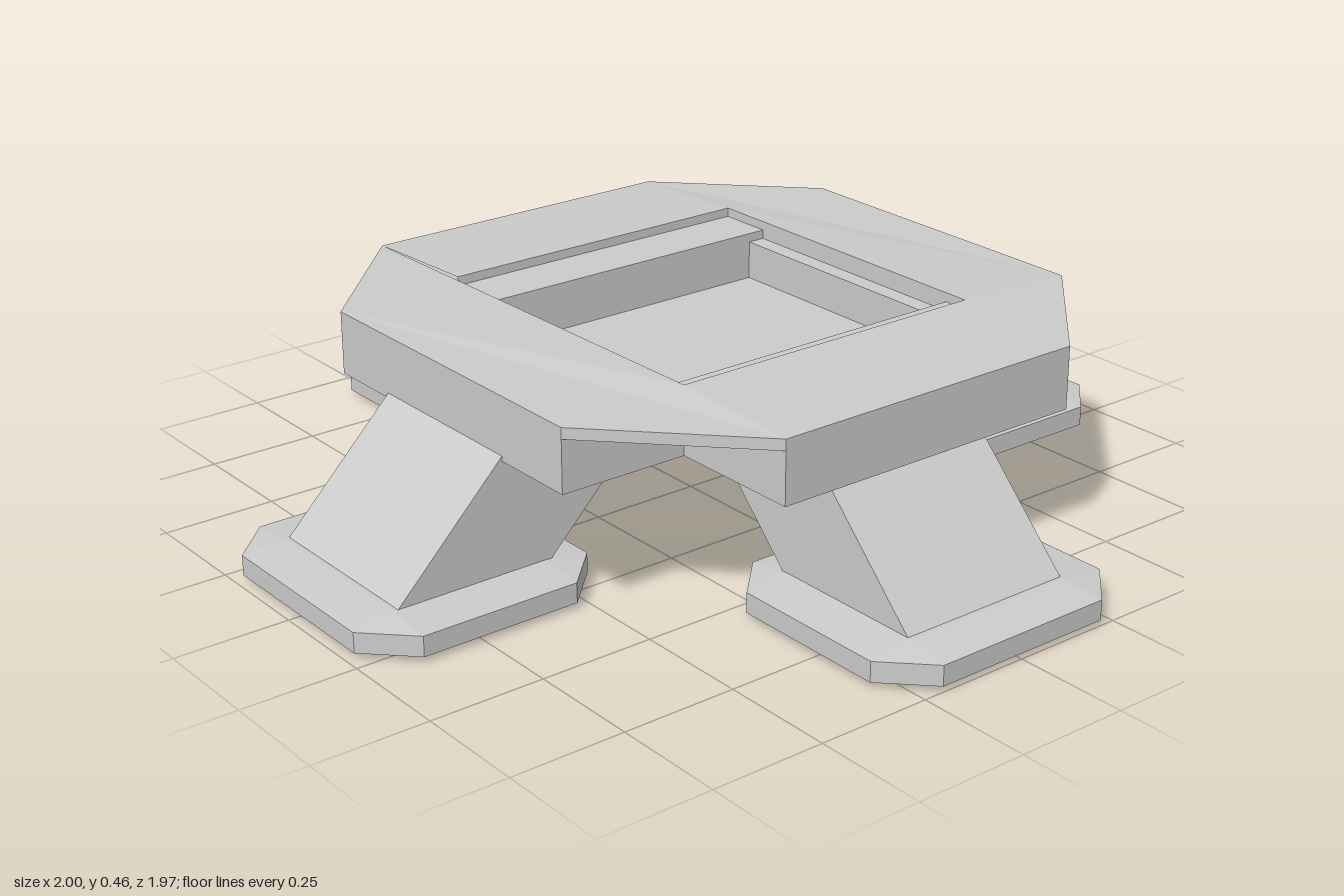
import * as THREE from 'three';

const material = new THREE.MeshStandardMaterial({ color: 0xcccccc, flatShading: true });

function add(parent, name, geometry) {
  const mesh = new THREE.Mesh(geometry, material);
  mesh.name = name;
  parent.add(mesh);
  return mesh;
}

// Box given by its limits along each axis
function block(parent, name, x0, x1, y0, y1, z0, z1) {
  const mesh = add(parent, name, new THREE.BoxGeometry(x1 - x0, y1 - y0, z1 - z0));
  mesh.position.set((x0 + x1) / 2, (y0 + y1) / 2, (z0 + z1) / 2);
}

// Closed solid through rings of [x, y, z], counter-clockwise seen from above, bottom first
function loft(rings) {
  const pos = [];
  const n = rings[0].length;
  const tri = (a, b, c) => pos.push(...a, ...b, ...c);
  for (let r = 0; r < rings.length - 1; r++) {
    for (let i = 0; i < n; i++) {
      const j = (i + 1) % n;
      tri(rings[r][i], rings[r][j], rings[r + 1][j]);
      tri(rings[r][i], rings[r + 1][j], rings[r + 1][i]);
    }
  }
  const top = rings[rings.length - 1];
  for (let i = 1; i < n - 1; i++) {
    tri(top[0], top[i], top[i + 1]);
    tri(rings[0][0], rings[0][i + 1], rings[0][i]);
  }
  const g = new THREE.BufferGeometry();
  g.setAttribute('position', new THREE.Float32BufferAttribute(pos, 3));
  g.computeVertexNormals();
  return g;
}

// Rectangle with cut corners: centre cx, half sizes hx and hz, cut c
const octagon = (cx, y, hx, hz, c) => [
  [hx, hz - c], [hx, c - hz], [hx - c, -hz], [c - hx, -hz],
  [-hx, c - hz], [-hx, hz - c], [c - hx, hz], [hx - c, hz],
].map(([x, z]) => [cx + x, y, z]);

const rect = (x0, x1, y, h) => [[x1, y, h], [x1, y, -h], [x0, y, -h], [x0, y, h]];

// Slanted leg with its foot pad, reaching out along +x
function makeLeg(name, reach) {
  const leg = new THREE.Group();
  leg.name = name;
  const cx = reach - 0.273;
  add(leg, 'strut', loft([
    rect(cx - 0.18, cx + 0.18, 0.055, 0.203),
    rect(cx - 0.442, cx - 0.082, 0.32, 0.203),
  ]));
  add(leg, 'footPad', loft([
    octagon(cx, 0, 0.2, 0.22, 0.06),
    octagon(cx, 0.012, 0.273, 0.305, 0.095),
    octagon(cx, 0.056, 0.273, 0.305, 0.095),
    octagon(cx, 0.067, 0.18, 0.203, 0.001),
  ]));
  return leg;
}

export function createModel() {
  const model = new THREE.Group();
  model.name = 'platform';

  // Cross-shaped body around a sunken well
  const body = new THREE.Group();
  body.name = 'body';
  model.add(body);
  block(body, 'rightArm', -0.67, -0.245, 0.307, 0.435, -0.405, 0.34);
  block(body, 'leftArm', 0.35, 0.705, 0.307, 0.435, -0.405, 0.34);
  block(body, 'frontArm', -0.37, 0.405, 0.307, 0.435, 0.34, 0.63);
  block(body, 'backArm', -0.37, 0.405, 0.307, 0.435, -0.695, -0.405);
  block(body, 'backLedge', -0.245, 0.35, 0.307, 0.415, -0.405, -0.365);
  block(body, 'wellFloor', -0.245, 0.35, 0.307, 0.33, -0.365, 0.34);

  // Thin eight-sided deck with a square opening, falling slightly to its rim
  const toVectors = (pts) => pts.map(([x, z]) => new THREE.Vector2(x, -z));
  const deckShape = new THREE.Shape(toVectors([
    [0.405, 0.63], [0.705, 0.34], [0.705, -0.405], [0.405, -0.695],
    [-0.37, -0.695], [-0.67, -0.405], [-0.67, 0.34], [-0.37, 0.63],
  ]));
  deckShape.holes.push(new THREE.Path(toVectors([
    [0.405, 0.34], [-0.37, 0.34], [-0.37, -0.405], [0.405, -0.405],
  ])));
  const deck = new THREE.ExtrudeGeometry(deckShape, { depth: 0.035, bevelEnabled: false });
  deck.rotateX(-Math.PI / 2).translate(0, 0.42, 0);
  const p = deck.attributes.position;
  for (let i = 0; i < p.count; i++) {
    const rim = Math.abs(p.getX(i) - 0.0175) > 0.5 || Math.abs(p.getZ(i) + 0.0325) > 0.5;
    if (rim && p.getY(i) > 0.44) p.setY(i, 0.444);
  }
  deck.computeVertexNormals();
  add(model, 'deck', deck);

  // Four legs, one below each arm
  [['leftLeg', 1], ['backLeg', 0.983], ['rightLeg', 1], ['frontLeg', 0.983]].forEach(([name, reach], i) => {
    const leg = makeLeg(name, reach);
    leg.rotation.y = i * Math.PI / 2;
    if (i % 2) leg.position.x = 0.005;
    else leg.position.z = -0.005;
    model.add(leg);
  });

  return model;
}
